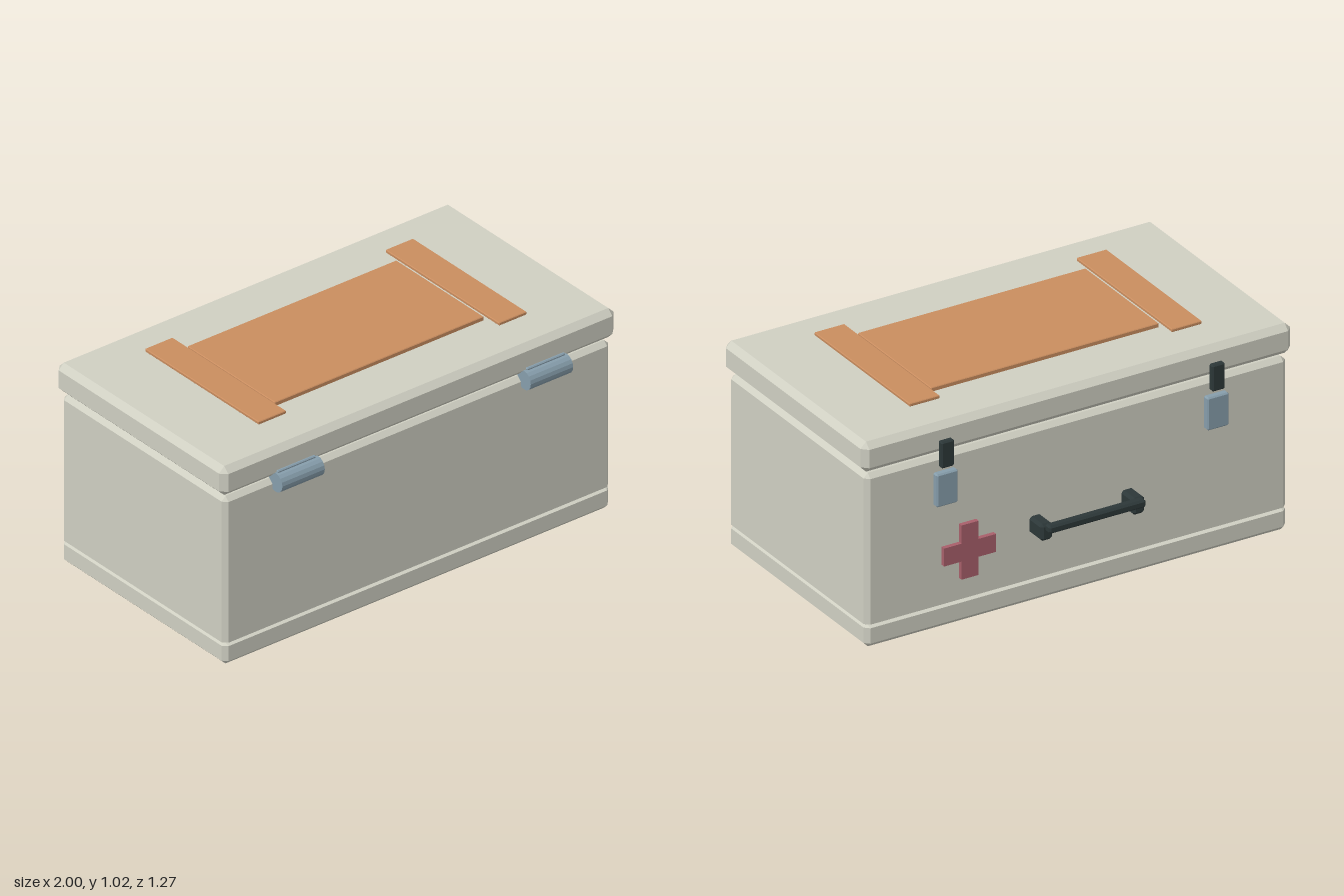
import * as THREE from 'three';
import { ConvexGeometry } from 'three/addons/geometries/ConvexGeometry.js';

const mat = (color) => new THREE.MeshStandardMaterial({ color, flatShading: true });
const cream = mat(0xcfcfc2);
const dark = mat(0x2c3738);
const steel = mat(0x869dab);
const orange = mat(0xc98d5f);
const red = mat(0xa85f6a);

// Box given by its ranges, all edges chamfered by c; the height of the
// chamfer can differ at the bottom (cb) and the top (ct).
function chamferBox([x0, x1], [y0, y1], [z0, z1], c, cb = c, ct = c) {
  const points = [];
  for (const [x, sx] of [[x0, 1], [x1, -1]])
    for (const [y, dy] of [[y0, cb], [y1, -ct]])
      for (const [z, sz] of [[z0, 1], [z1, -1]]) {
        points.push(
          new THREE.Vector3(x, y + dy, z + sz * c),
          new THREE.Vector3(x + sx * c, y + dy, z),
          new THREE.Vector3(x + sx * c, y, z + sz * c));
      }
  return new ConvexGeometry(points);
}

export function createModel() {
  const model = new THREE.Group();
  model.name = 'medicalCase';

  function add(name, geometry, material, parent = model) {
    const mesh = new THREE.Mesh(geometry, material);
    mesh.name = name;
    parent.add(mesh);
    return mesh;
  }

  // Shell: base, body, dark seal and lid
  add('base', chamferBox([-0.98, 0.98], [0.07, 0.167], [-0.47, 0.57], 0.02, 0.02, 0.008), cream);
  add('body', chamferBox([-0.98, 0.98], [0.167, 0.845], [-0.47, 0.57], 0.02, 0.008, 0.02), cream);
  add('seal', chamferBox([-0.95, 0.95], [0.83, 0.88], [-0.435, 0.535], 0.01), dark);
  add('lid', chamferBox([-1, 1], [0.858, 0.992], [-0.485, 0.585], 0.026), cream);

  // Raised panel on the lid
  add('lidPanel', chamferBox([-0.53, 0.53], [0.985, 1.01], [-0.23, 0.325], 0.003), orange);

  for (const s of [-1, 1]) {
    const side = s < 0 ? 'right' : 'left';
    const span = (a, b) => (s > 0 ? [a, b] : [-b, -a]);

    add(side + 'LidStrip', chamferBox(span(0.54, 0.68), [1.001, 1.016], [-0.312, 0.41], 0.003), orange);

    // Hinge: barrel and leaf
    const hinge = new THREE.Group();
    hinge.name = side + 'Hinge';
    model.add(hinge);
    const barrel = add('hingeBarrel', new THREE.CylinderGeometry(0.043, 0.043, 0.215, 16), steel, hinge);
    barrel.rotation.z = Math.PI / 2;
    barrel.position.set(s * 0.63, 0.842, 0.59);
    add('hingeLeaf', chamferBox(span(0.535, 0.73), [0.81, 0.893], [0.565, 0.595], 0.004), steel, hinge);

    // Latch: plate below, catch above
    const latch = new THREE.Group();
    latch.name = side + 'Latch';
    model.add(latch);
    add('latchPlate', chamferBox(span(0.58, 0.68), [0.64, 0.787], [-0.518, -0.485], 0.006), steel, latch);
    add('latchCatch', chamferBox(span(0.6, 0.66), [0.81, 0.928], [-0.522, -0.493], 0.006), dark, latch);

    // Skid: rail with a rubber foot at each end
    const skid = new THREE.Group();
    skid.name = side + 'Skid';
    model.add(skid);
    add('rail', chamferBox(span(0.598, 0.785), [0.03, 0.08], [-0.312, 0.412], 0.025, 0.025, 0.01), steel, skid);
    for (const [a, b] of [[-0.345, -0.218], [0.32, 0.445]])
      add('foot', chamferBox(span(0.625, 0.757), [0, 0.08], [a, b], 0.015), dark, skid);

    add(side + 'HandleMount', chamferBox(span(0.185, 0.243), [0.402, 0.478], [-0.597, -0.495], 0.012), dark);
  }

  add('handleGrip', chamferBox([-0.225, 0.225], [0.447, 0.482], [-0.632, -0.592], 0.008), dark);

  // Cross emblem
  const w = 0.04, l = 0.121;
  const outline = [[w, w], [w, l], [-w, l], [-w, w], [-l, w], [-l, -w],
    [-w, -w], [-w, -l], [w, -l], [w, -w], [l, -w], [l, w]];
  const shape = new THREE.Shape(outline.map(([x, y]) => new THREE.Vector2(x, y)));
  const cross = add('cross', new THREE.ExtrudeGeometry(shape, { depth: 0.02, bevelEnabled: false }), red);
  cross.position.set(0.53, 0.415, -0.525);

  return model;
}
